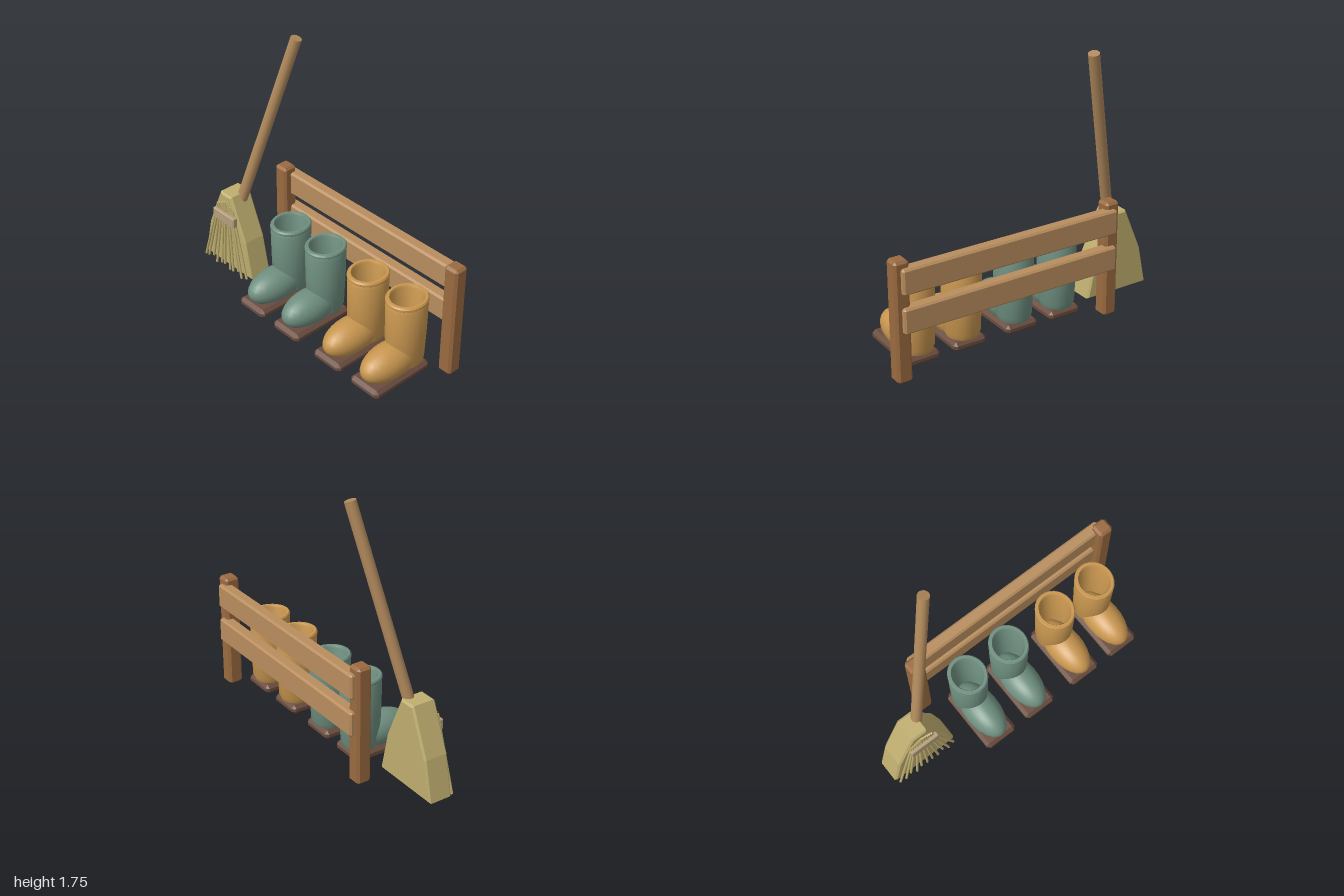
import * as THREE from 'three';
import { toCreasedNormals } from 'three/addons/utils/BufferGeometryUtils.js';
import { ConvexGeometry } from 'three/addons/geometries/ConvexGeometry.js';

const paint = (color) => new THREE.MeshStandardMaterial({ color });
const POST = paint(0x9a6a40), RAIL = paint(0xb88d5e), HANDLE = paint(0xb0895c);
const TAN = paint(0xc8964f), GREEN = paint(0x6f8f80), SOLE = paint(0x6a4c3e);
const STRAW = paint(0xbfae6f), BAND = paint(0xb59f7c);

function add(parent, name, geometry, material, x = 0, y = 0, z = 0) {
  const mesh = new THREE.Mesh(geometry, material);
  mesh.name = name;
  mesh.position.set(x, y, z);
  parent.add(mesh);
  return mesh;
}

// Box with every edge chamfered by c
function chamferBox(w, h, d, c) {
  const points = [];
  for (const sx of [-1, 1]) for (const sy of [-1, 1]) for (const sz of [-1, 1]) {
    const x = w / 2, y = h / 2, z = d / 2;
    points.push(
      new THREE.Vector3(sx * x, sy * (y - c), sz * (z - c)),
      new THREE.Vector3(sx * (x - c), sy * y, sz * (z - c)),
      new THREE.Vector3(sx * (x - c), sy * (y - c), sz * z));
  }
  return new ConvexGeometry(points);
}

// Round rod between two points
function rod(parent, name, a, b, radius, sides, material) {
  const dir = b.clone().sub(a);
  const mesh = add(parent, name, new THREE.CylinderGeometry(radius, radius, dir.length(), sides), material);
  mesh.position.copy(a).add(b).multiplyScalar(0.5);
  mesh.quaternion.setFromUnitVectors(new THREE.Vector3(0, 1, 0), dir.normalize());
  return mesh;
}

function createRack() {
  const rack = new THREE.Group();
  rack.name = 'rack';
  for (const z of [0.95, -0.535]) add(rack, 'post', chamferBox(0.1, 0.78, 0.1, 0.016), POST, 0.227, 0.39, z);
  for (const y of [0.655, 0.408]) add(rack, 'rail', chamferBox(0.08, 0.163, 1.51, 0.012), RAIL, 0.266, y, 0.205);
  return rack;
}

function createBoot(material, z) {
  const boot = new THREE.Group();
  boot.name = 'boot';
  boot.position.z = z;

  add(boot, 'sole', chamferBox(0.46, 0.065, 0.232, 0.022), SOLE, -0.08, 0.0325, 0);

  // Open shaft with a rolled rim and a hollow inside
  const profile = [[0, 0.065], [0.1, 0.065], [0.113, 0.1], [0.12, 0.3], [0.123, 0.5], [0.118, 0.515],
    [0.125, 0.522], [0.125, 0.535], [0.118, 0.545], [0.102, 0.545], [0.095, 0.53], [0.09, 0.08], [0, 0.08]]
    .map(([r, y]) => new THREE.Vector2(r, y));
  const shaft = new THREE.LatheGeometry(profile, 28).scale(1.1, 1, 1);
  add(boot, 'shaft', toCreasedNormals(shaft, 0.6), material, 0.042, 0, 0);

  // Egg-shaped toe flattened where it meets the sole
  const toe = new THREE.SphereGeometry(1, 24, 16).scale(0.22, 0.115, 0.116);
  const p = toe.attributes.position;
  for (let i = 0; i < p.count; i++) p.setY(i, Math.max(p.getY(i), -0.068));
  add(boot, 'toe', toCreasedNormals(toe, 0.7), material, -0.09, 0.13, 0);
  return boot;
}

function createBroom() {
  const broom = new THREE.Group();
  broom.name = 'broom';
  const cz = -0.758;

  // Flared head, extruded across x
  const b = 0.012;
  const half = [[0.226, 0.032], [0.172, 0.28], [0.048, 0.57]];
  const outline = [...half, ...half.map(([z, y]) => [-z, y]).reverse()];
  const head = new THREE.ExtrudeGeometry(new THREE.Shape(outline.map(([z, y]) => new THREE.Vector2(z, y))),
    { depth: 0.165 - 2 * b, bevelThickness: b, bevelSize: b, bevelSegments: 1 });
  head.translate(0, 0, -(0.165 - 2 * b) / 2).rotateY(Math.PI / 2);
  add(broom, 'broomHead', head, STRAW, -0.02, 0, cz);

  // Bristles fanning out on the outer side, held by a band
  const count = 11;
  for (let i = 0; i < count; i++) {
    const t = (i / (count - 1)) * 2 - 1;
    const top = new THREE.Vector3(-0.108, 0.53 - 0.04 * Math.abs(t), cz + t * 0.075);
    const tip = new THREE.Vector3(-0.122 - 0.008 * (i % 2), 0.012 + 0.015 * (i % 3), cz + t * 0.215);
    rod(broom, 'bristle', top, tip, 0.009, 5, STRAW);
  }
  add(broom, 'band', chamferBox(0.036, 0.075, 0.21, 0.006), BAND, -0.12, 0.42, cz + 0.01);

  rod(broom, 'handle', new THREE.Vector3(0, 0.53, -0.713), new THREE.Vector3(0.213, 1.735, -0.405), 0.036, 16, HANDLE);
  return broom;
}

export function createModel() {
  const model = new THREE.Group();
  model.name = 'bootRackWithBroom';
  model.add(createRack());
  for (const z of [0.752, 0.426]) model.add(createBoot(TAN, z));
  for (const z of [0.048, -0.278]) model.add(createBoot(GREEN, z));
  model.add(createBroom());
  return model;
}
